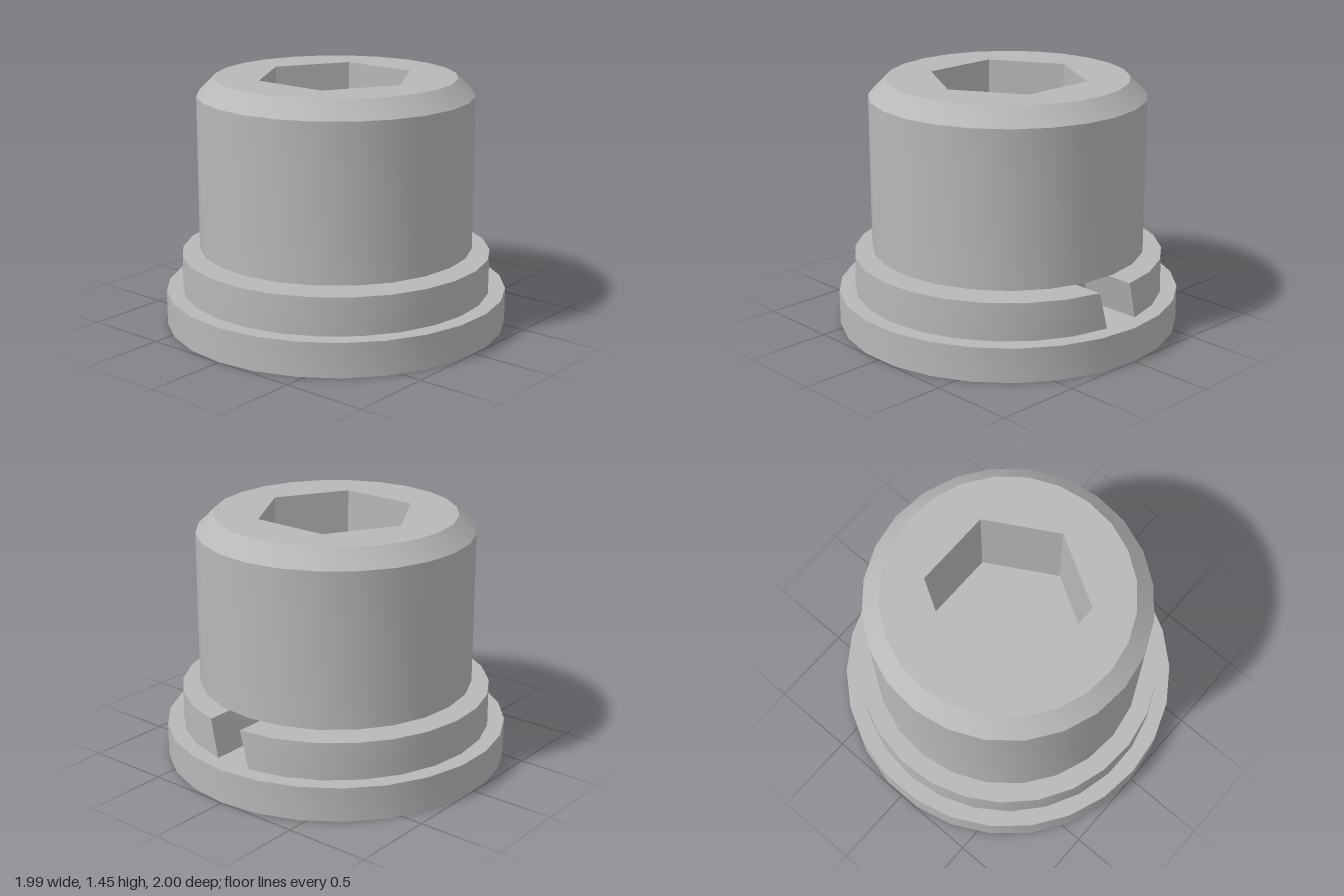
import * as THREE from 'three';
import { toCreasedNormals } from 'three/addons/utils/BufferGeometryUtils.js';

const steel = new THREE.MeshStandardMaterial({ color: 0xb8b8b8, side: THREE.DoubleSide });
steel.name = 'steel grey';

function part(name, geometry) {
  const mesh = new THREE.Mesh(toCreasedNormals(geometry, 0.5), steel);
  mesh.name = name;
  return mesh;
}

function turned(profile, sides, start = 0) {
  return new THREE.LatheGeometry(profile.map(([r, y]) => new THREE.Vector2(r, y)), sides, start);
}

// Split ring whose top is turned a little against its bottom, leaving a slanted gap at the back
function splitRing(inner, outer, y0, y1, steps) {
  // Corners: radius, height, x of the gap's two sides
  const corners = [
    [inner, y0, 0.115, -0.115], [outer, y0, 0.115, -0.115],
    [outer, y1, 0.17, -0.06], [inner, y1, 0.17, -0.06],
  ];
  const positions = [], index = [];
  for (let i = 0; i <= steps; i++) {
    for (const [r, y, xStart, xEnd] of corners) {
      const a = THREE.MathUtils.lerp(Math.asin(xStart / r), 2 * Math.PI + Math.asin(xEnd / r), i / steps);
      positions.push(r * Math.sin(a), y, -r * Math.cos(a));
    }
  }
  for (let i = 0; i < steps; i++) {
    for (let j = 0; j < 4; j++) {
      const a = i * 4 + j, b = i * 4 + (j + 1) % 4, c = a + 4, d = b + 4;
      index.push(a, b, c, b, d, c);
    }
  }
  const e = steps * 4;
  index.push(0, 2, 1, 0, 3, 2, e, e + 1, e + 2, e, e + 2, e + 3);
  const geometry = new THREE.BufferGeometry();
  geometry.setAttribute('position', new THREE.Float32BufferAttribute(positions, 3));
  geometry.setIndex(index);
  return geometry;
}

export function createModel() {
  const model = new THREE.Group();
  model.name = 'socketScrewWithWashers';

  // Washers
  model.add(part('flatWasher', turned([[0.55, 0], [1, 0], [1, 0.2], [0.55, 0.2], [0.55, 0]], 26)));
  model.add(part('lockWasher', splitRing(0.55, 0.905, 0.2, 0.42, 25)));

  // Hollow shank and head with chamfered rim
  const sides = 24, start = THREE.MathUtils.degToRad(2);
  const top = 1.45, socketRadius = 0.4 / Math.cos(Math.PI / 6), socketDepth = 0.6;
  model.add(part('shankAndHead',
    turned([[0.5, 0], [0.5, 0.45], [0.8, 0.45], [0.8, 1.35], [0.7, top]], sides, start)));

  // Head top with hexagonal opening
  const ring = (n, r, offset) => Array.from({ length: n }, (_, i) => {
    const a = offset + (i / n) * 2 * Math.PI;
    return new THREE.Vector2(r * Math.sin(a), -r * Math.cos(a));
  });
  const face = new THREE.Shape(ring(sides, 0.7, start));
  face.holes.push(new THREE.Path(ring(6, socketRadius, Math.PI / 6)));
  model.add(part('headTop', new THREE.ShapeGeometry(face).rotateX(-Math.PI / 2).translate(0, top, 0)));

  // Hexagonal socket; walls are turned to face inwards
  const walls = new THREE.CylinderGeometry(socketRadius, socketRadius, socketDepth, 6, 1, true)
    .rotateY(Math.PI / 6).translate(0, top - socketDepth / 2, 0);
  walls.index.array.reverse();
  model.add(part('socketWalls', walls));
  model.add(part('socketFloor', new THREE.CircleGeometry(socketRadius, 6)
    .rotateX(-Math.PI / 2).translate(0, top - socketDepth, 0)));

  return model;
}
